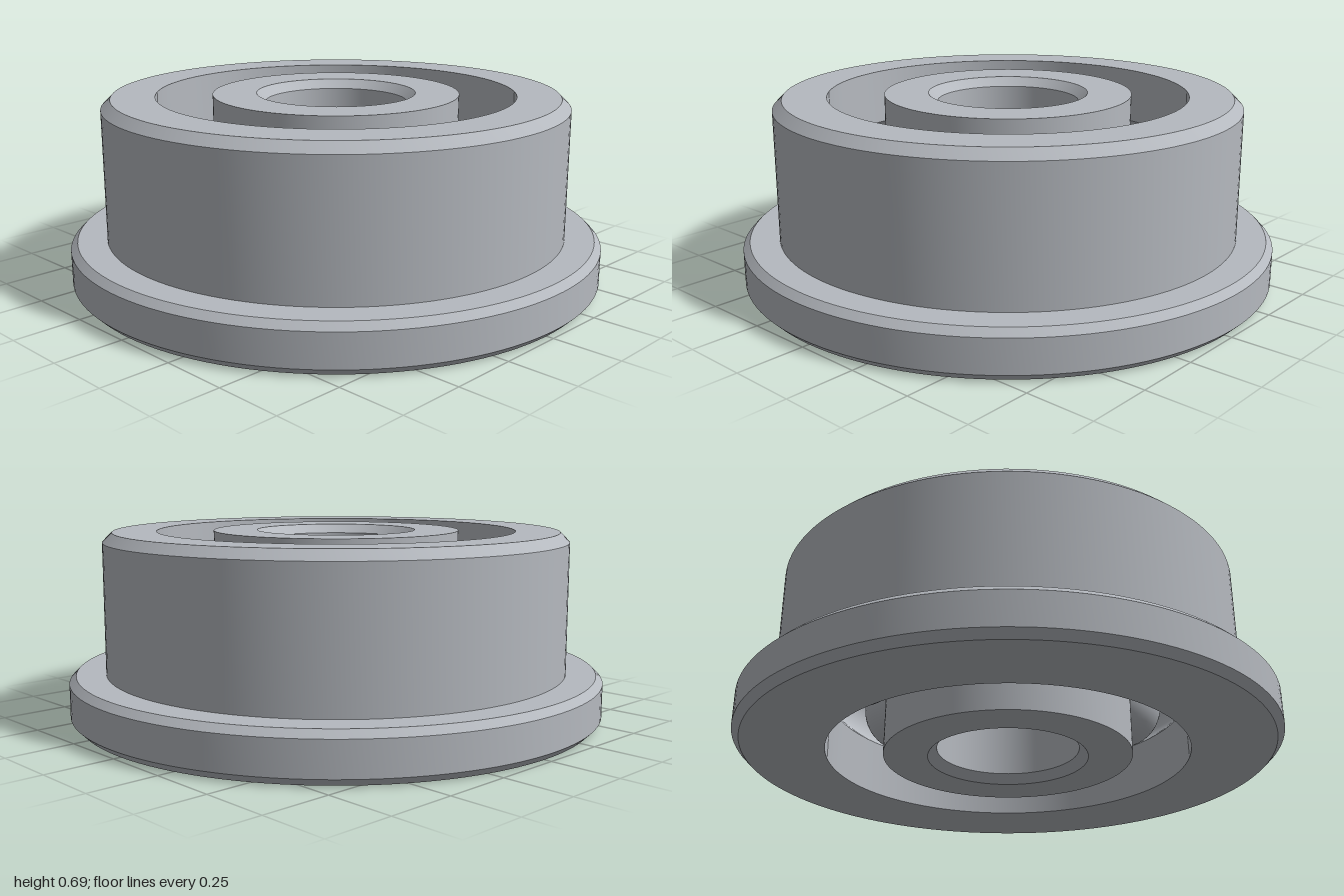
import * as THREE from 'three';
import { toCreasedNormals } from 'three/addons/utils/BufferGeometryUtils.js';

const HEIGHT = 0.695;
const MID = HEIGHT / 2;
const PITCH = 0.565; // radius of the circle of ball centres
const BALL = 0.168;
const GROOVE = 0.171;
const BALL_COUNT = 7;

// Points of the ball groove cut into a wall at the given radius, listed from
// the bottom up (yDir = 1) or from the top down (yDir = -1)
function groove(wall, yDir) {
  const half = Math.acos(Math.abs(wall - PITCH) / GROOVE);
  const side = Math.sign(wall - PITCH);
  const points = [];
  for (let i = 0; i <= 12; i++) {
    const a = -half + (2 * half * i) / 12;
    points.push([PITCH + side * GROOVE * Math.cos(a), MID + yDir * GROOVE * Math.sin(a)]);
  }
  return points;
}

// Closed ring turned from a profile of [radius, height] pairs
function ring(name, profile, material) {
  const points = [...profile, profile[0]].map(([r, y]) => new THREE.Vector2(r, y));
  const geometry = toCreasedNormals(new THREE.LatheGeometry(points, 128), 0.5);
  const mesh = new THREE.Mesh(geometry, material);
  mesh.name = name;
  return mesh;
}

export function createModel() {
  const steel = new THREE.MeshStandardMaterial({ color: 0xb5b9bf });
  steel.name = 'steel';
  const model = new THREE.Group();
  model.name = 'flangedBallBearing';

  // Outer ring with chamfered flange at the bottom
  model.add(ring('outerRing', [
    [0.67, 0], [0.973, 0], [1, 0.027], [1, 0.15], [0.975, 0.175],
    [0.867, 0.175], [0.867, 0.66], [0.832, HEIGHT], [0.67, HEIGHT],
    ...groove(0.67, -1),
  ], steel));

  // Inner ring with chamfered bore
  model.add(ring('innerRing', [
    [0.297, 0], [0.46, 0], ...groove(0.46, 1), [0.46, HEIGHT],
    [0.297, HEIGHT], [0.264, HEIGHT - 0.033], [0.264, 0.033],
  ], steel));

  // Balls between the rings
  const balls = new THREE.Group();
  balls.name = 'balls';
  const ballGeometry = new THREE.SphereGeometry(BALL, 40, 24);
  for (let i = 0; i < BALL_COUNT; i++) {
    const a = (i / BALL_COUNT) * Math.PI * 2;
    const ball = new THREE.Mesh(ballGeometry, steel);
    ball.name = `ball${i + 1}`;
    ball.position.set(PITCH * Math.cos(a), MID, PITCH * Math.sin(a));
    balls.add(ball);
  }
  model.add(balls);
  return model;
}
